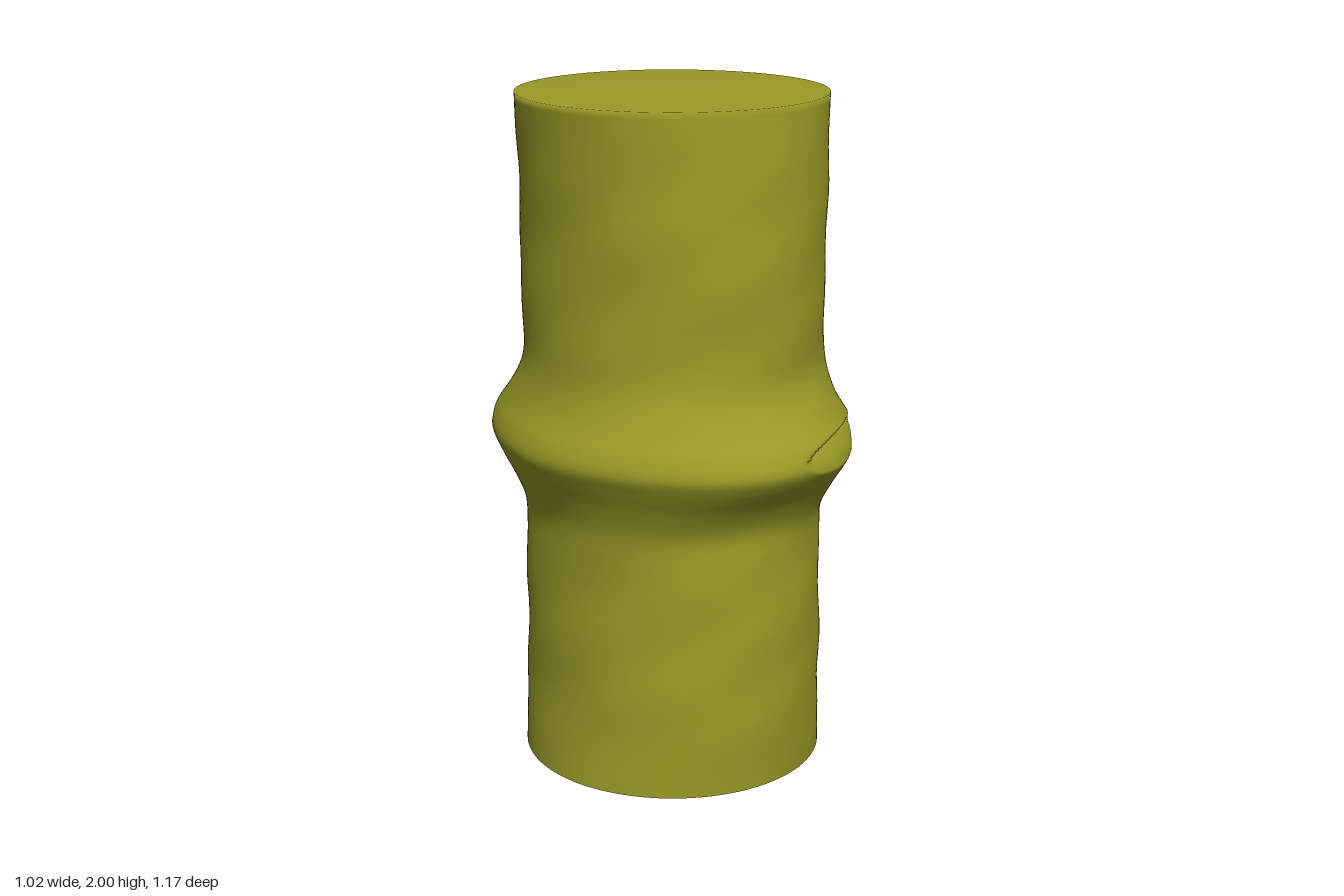
import * as THREE from 'three';
import { mergeVertices } from 'three/addons/utils/BufferGeometryUtils.js';

// Half-widths of the stalk [y, x radius, z radius]
const PROFILE = [
  [0, 0.45, 0.452], [0.2, 0.433, 0.468], [0.45, 0.425, 0.472], [0.72, 0.425, 0.466], [0.8, 0.432, 0.47],
  [0.88, 0.46, 0.51], [0.95, 0.493, 0.562], [1.0, 0.511, 0.586], [1.05, 0.5, 0.57],
  [1.12, 0.462, 0.52], [1.2, 0.434, 0.478], [1.28, 0.425, 0.468], [1.55, 0.425, 0.474],
  [1.75, 0.429, 0.47], [2, 0.45, 0.452],
];

// Bud scars on the ring: angle range measured from the front towards the left
const SCARS = [[0.06, 1.05], [Math.PI - 0.16, Math.PI + 0.93]];
const SCAR_Y = 1.015, SCAR_HALF = 0.055, SCAR_DEPTH = 0.06;

// Smooth monotone-looking interpolation through the profile
function radii(y) {
  let i = 0;
  while (i < PROFILE.length - 2 && y > PROFILE[i + 1][0]) i++;
  const at = (k) => PROFILE[Math.min(Math.max(k, 0), PROFILE.length - 1)];
  const [a, b] = [at(i), at(i + 1)];
  const h = b[0] - a[0], t = (y - a[0]) / h;
  const slope = (k, c) => (at(k + 1)[c] - at(k - 1)[c]) / (at(k + 1)[0] - at(k - 1)[0]);
  return [1, 2].map((c) =>
    (2 * t ** 3 - 3 * t ** 2 + 1) * a[c] + (t ** 3 - 2 * t ** 2 + t) * h * slope(i, c) +
    (3 * t ** 2 - 2 * t ** 3) * b[c] + (t ** 3 - t ** 2) * h * slope(i + 1, c));
}

// Depth of a lens-shaped scar: a gently sloping floor under a steep upper lip
function scarDepth(phi, y) {
  for (const [from, to] of SCARS) {
    const t = (2 * phi - from - to) / (to - from);
    if (Math.abs(t) >= 1) continue;
    const half = SCAR_HALF * Math.sqrt(1 - t * t);
    const v = (y - SCAR_Y) / half;
    if (Math.abs(v) >= 1) continue;
    const up = (v + 1) / 2;
    return SCAR_DEPTH * Math.sqrt(1 - t * t) * (up < 0.75 ? up / 0.75 : (1 - up) / 0.25);
  }
  return 0;
}

// Faint unevenness of the surface, fading out at the cut ends
function wobble(phi, y) {
  const fade = Math.min(1, y / 0.25, (2 - y) / 0.25);
  return fade * 0.002 * (Math.sin(3 * phi + 14 * y) + Math.sin(5 * phi - 23 * y));
}

export function createModel() {
  const group = new THREE.Group();
  group.name = 'stalkSegment';
  const green = new THREE.MeshStandardMaterial({ color: 0x9a9a26 });
  green.name = 'olive green';

  // Row heights, closely spaced where the scars lie
  const rows = [];
  const addRows = (from, to, n) => {
    for (let i = 0; i < n; i++) rows.push(from + ((to - from) * i) / n);
  };
  addRows(0, 0.72, 16);
  addRows(0.72, 0.95, 12);
  addRows(0.95, 1.08, 28);
  addRows(1.08, 1.3, 12);
  addRows(1.3, 1.98, 15);
  rows.push(1.98, 2);

  // Stalk with swollen ring, closed at the top
  const points = rows.map((y) => new THREE.Vector2(1, y));
  points.push(new THREE.Vector2(0, 2));
  let stalk = new THREE.LatheGeometry(points, 160);
  const pos = stalk.attributes.position;
  for (let i = 0; i < pos.count; i++) {
    const x = pos.getX(i), y = pos.getY(i), z = pos.getZ(i);
    if (Math.hypot(x, z) < 0.5) continue;
    const phi = (Math.atan2(x, z) + 2 * Math.PI) % (2 * Math.PI);
    const [rx, rz] = radii(y);
    const d = wobble(phi, y) - scarDepth(phi, y);
    pos.setXYZ(i, x * (rx + d), y, z * (rz + d));
  }
  stalk.deleteAttribute('uv');
  stalk.deleteAttribute('normal');
  stalk = mergeVertices(stalk, 1e-5);
  stalk.computeVertexNormals();
  const stalkMesh = new THREE.Mesh(stalk, green);
  stalkMesh.name = 'stalk';
  group.add(stalkMesh);

  // Flat cut underside
  const base = new THREE.Mesh(new THREE.CircleGeometry(1, 160), green);
  base.name = 'cutBase';
  base.rotation.x = Math.PI / 2;
  base.scale.set(PROFILE[0][1], PROFILE[0][2], 1);
  group.add(base);

  return group;
}
